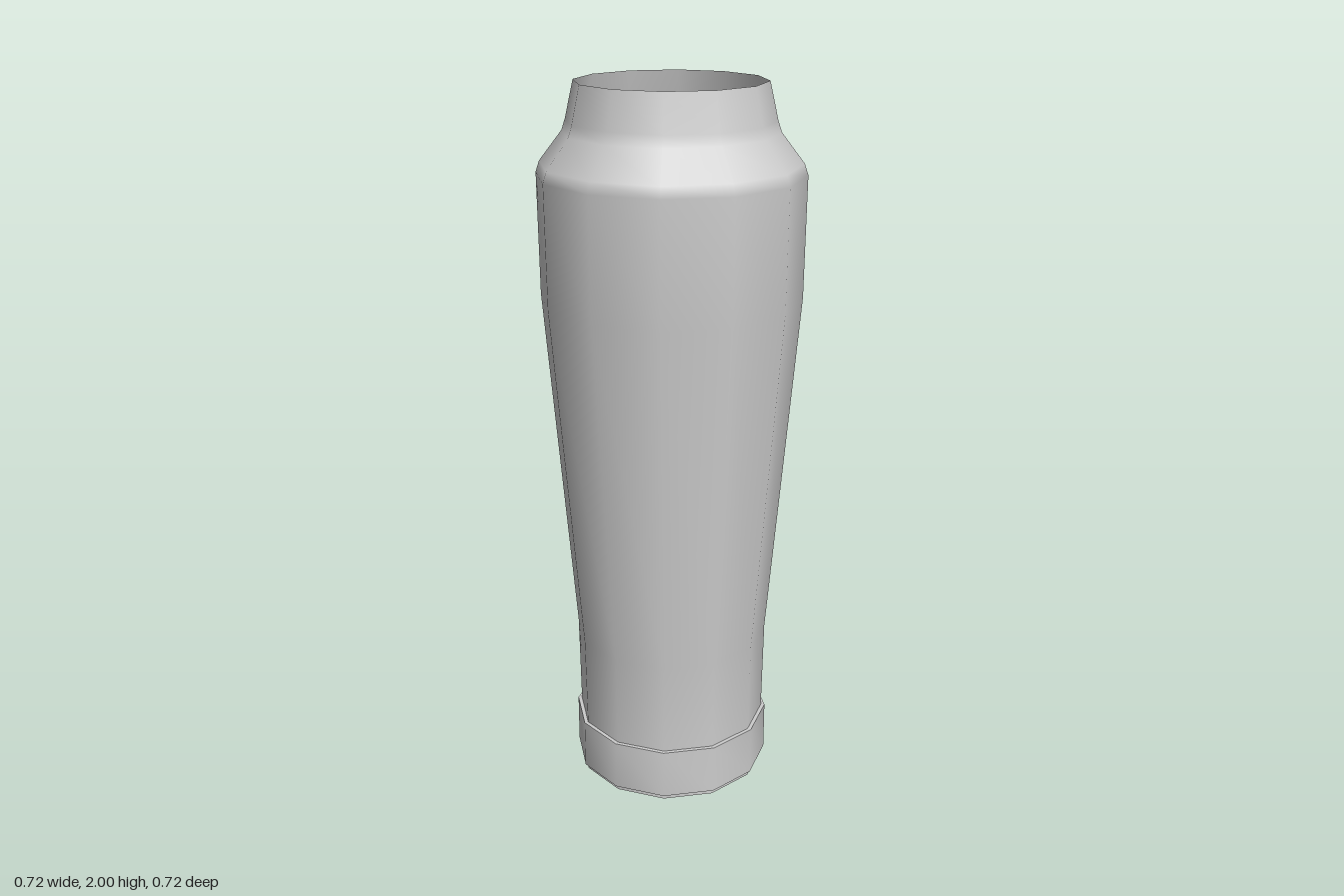
import * as THREE from 'three';
import { toCreasedNormals } from 'three/addons/utils/BufferGeometryUtils.js';

const SIDES = 12;

// Revolve a [radius, height] profile, listed from bottom to top
function revolve(profile) {
  const points = profile.map(([r, y]) => new THREE.Vector2(r, y));
  return new THREE.LatheGeometry(points, SIDES);
}

export function createModel() {
  const group = new THREE.Group();
  group.name = 'hollowSleeve';

  const grey = new THREE.MeshStandardMaterial({ color: 0xcccccc, side: THREE.DoubleSide });
  grey.name = 'light grey';

  // Open tapered tube with a rounded shoulder and narrow neck
  const body = new THREE.Mesh(revolve([
    [0.275, 0], [0.273, 0.16], [0.277, 0.43],
    [0.357, 1.43], [0.36, 1.76], [0.35, 1.79],
    [0.288, 1.87], [0.278, 1.9], [0.255, 2],
  ]), grey);
  body.name = 'taperedTube';
  group.add(body);

  // Raised cuff with crisp rims around the lower end
  const cuff = new THREE.Mesh(toCreasedNormals(revolve([
    [0.274, 0.015], [0.284, 0.015], [0.284, 0.16], [0.273, 0.16],
  ]), 0.8), grey);
  cuff.name = 'bottomCuff';
  group.add(cuff);

  return group;
}
